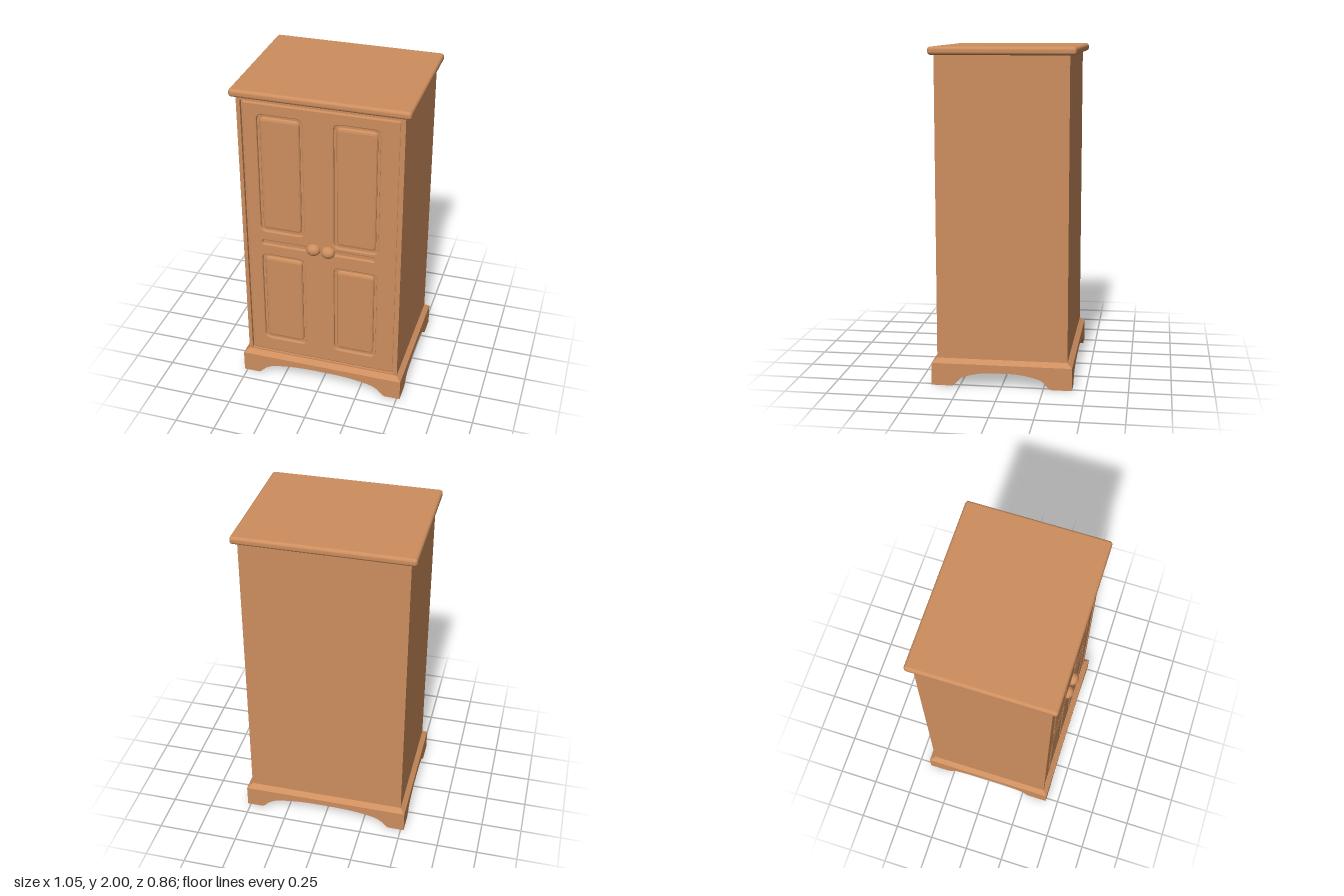
import * as THREE from 'three';
import { RoundedBoxGeometry } from 'three/addons/geometries/RoundedBoxGeometry.js';

const wood = new THREE.MeshStandardMaterial({ color: 0xcd8e5e });
wood.name = 'warm wood';

// Rounded rectangle from its edges; r = 0 gives square corners
function rect(x0, x1, y0, y1, r = 0, Type = THREE.Shape) {
  const s = new Type();
  s.moveTo(x0 + r, y0);
  s.lineTo(x1 - r, y0);
  if (r) s.quadraticCurveTo(x1, y0, x1, y0 + r);
  s.lineTo(x1, y1 - r);
  if (r) s.quadraticCurveTo(x1, y1, x1 - r, y1);
  s.lineTo(x0 + r, y1);
  if (r) s.quadraticCurveTo(x0, y1, x0, y1 - r);
  s.lineTo(x0, y0 + r);
  if (r) s.quadraticCurveTo(x0, y0, x0 + r, y0);
  return s;
}

// Extrusion whose bevel stays inside the drawn outline
function plate(shape, depth, bevel = 0, width = bevel) {
  return new THREE.ExtrudeGeometry(shape, {
    depth: depth - bevel, bevelEnabled: bevel > 0, bevelThickness: bevel,
    bevelSize: width, bevelOffset: -width, bevelSegments: 2, curveSegments: 8,
  });
}

// Plinth board with a bracket foot at each end and a shallow arch between
function apronShape(half, foot, shoulder, arch, top) {
  const s = new THREE.Shape();
  s.moveTo(-half, 0);
  s.lineTo(-foot, 0);
  s.bezierCurveTo(-foot + 0.03, 0.01, -foot + 0.03, 0.05, -shoulder, arch - 0.025);
  s.bezierCurveTo(-shoulder * 0.6, arch, -shoulder * 0.3, arch, 0, arch);
  s.bezierCurveTo(shoulder * 0.3, arch, shoulder * 0.6, arch, shoulder, arch - 0.025);
  s.bezierCurveTo(foot - 0.03, 0.05, foot - 0.03, 0.01, foot, 0);
  s.lineTo(half, 0);
  s.lineTo(half, top);
  s.lineTo(-half, top);
  s.closePath();
  return s;
}

export function createModel() {
  const model = new THREE.Group();
  model.name = 'cupboard';
  const add = (name, geometry, x = 0, y = 0, z = 0, parent = model) => {
    const mesh = new THREE.Mesh(geometry, wood);
    mesh.name = name;
    mesh.position.set(x, y, z);
    parent.add(mesh);
    return mesh;
  };

  // Carcass and overhanging top
  add('carcass', new THREE.BoxGeometry(0.98, 1.83, 0.76), 0, 1.045, -0.01);
  add('topBoard', new RoundedBoxGeometry(1.05, 0.047, 0.85, 4, 0.018), 0, 1.9765, -0.003);

  // Front frame around the door opening
  const frame = rect(-0.49, 0.49, 0.14, 1.955);
  frame.holes.push(rect(-0.467, 0.462, 0.17, 1.932, 0, THREE.Path));
  add('faceFrame', plate(frame, 0.02), 0, 0, 0.37);

  // Door leaf with sunk panels and grooves in the middle rail
  const door = new THREE.Group();
  door.name = 'door';
  model.add(door);
  const panels = [
    [-0.375, -0.105, 1.08, 1.85],
    [0.08, 0.35, 1.04, 1.85],
    [-0.375, -0.105, 0.275, 0.91],
    [0.08, 0.345, 0.275, 0.89],
  ];
  const leaf = rect(-0.456, 0.461, 0.175, 1.922);
  for (const [x0, x1, y0, y1] of panels) {
    leaf.holes.push(rect(x0, x1, y0, y1, 0.04, THREE.Path));
  }
  leaf.holes.push(rect(-0.37, -0.09, 0.985, 1.012, 0.012, THREE.Path));
  leaf.holes.push(rect(0.08, 0.33, 0.985, 1.012, 0.012, THREE.Path));
  add('doorLeaf', plate(leaf, 0.016, 0.008, 0.007), 0, 0, 0.37, door);
  panels.forEach(([x0, x1, y0, y1]) => {
    const field = rect(x0 + 0.016, x1 - 0.016, y0 + 0.016, y1 - 0.016, 0.03);
    add('raisedPanel', plate(field, 0.017, 0.012, 0.018), 0, 0, 0.37, door);
  });

  // Pair of round knobs
  for (const [x, z] of [[-0.047, 0.386], [0.045, 0.391]]) {
    const knob = add('knob', new THREE.SphereGeometry(0.04, 24, 16), x, 1.003, z, door);
    knob.scale.set(1.08, 0.97, 0.92);
  }

  // Plinth: chamfered cap, then four arched boards
  const plinth = new THREE.Group();
  plinth.name = 'plinth';
  model.add(plinth);
  const cap = new THREE.ExtrudeGeometry(rect(-0.49, 0.49, -0.39, 0.39), {
    depth: 0.001, bevelThickness: 0.025, bevelSize: 0.03, bevelSegments: 1,
  });
  cap.rotateX(-Math.PI / 2);
  add('plinthCap', cap, 0, 0.135, 0, plinth);

  const t = 0.045;
  const longBoard = plate(apronShape(0.52, 0.42, 0.31, 0.097, 0.136), t);
  const shortBoard = plate(apronShape(0.42 - t, 0.295, 0.21, 0.088, 0.136), t);
  for (const side of [1, -1]) {
    const a = add('plinthLongBoard', longBoard, 0, 0, side * (0.42 - t), plinth);
    a.rotation.y = side > 0 ? 0 : Math.PI;
    const b = add('plinthShortBoard', shortBoard, side * (0.52 - t), 0, 0, plinth);
    b.rotation.y = side * Math.PI / 2;
  }
  return model;
}
